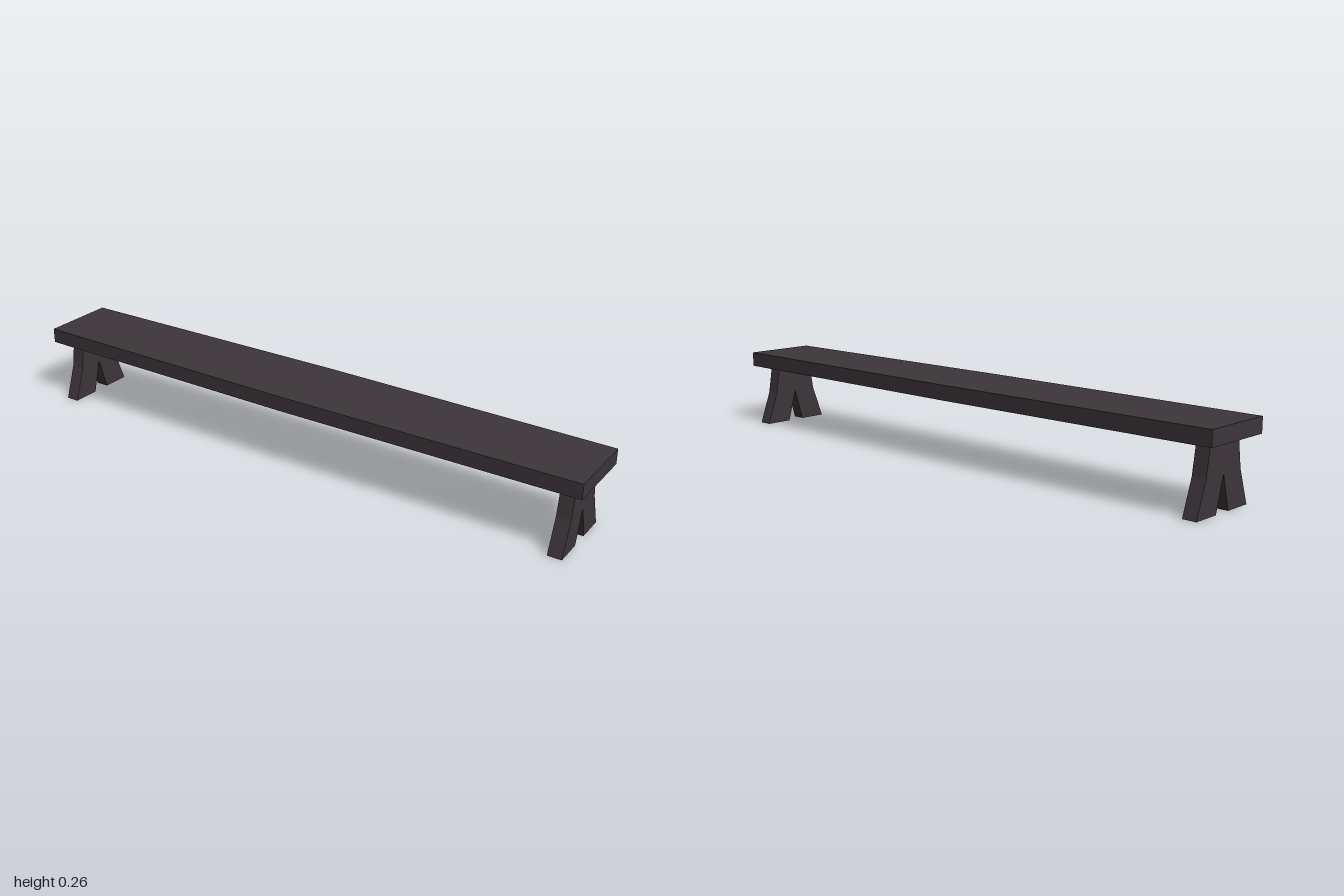
import * as THREE from 'three';

const darkWood = new THREE.MeshStandardMaterial({ color: 0x3d353a });
darkWood.name = 'darkWood';

// Flat outline pushed to a thickness, with no bevel
function board(name, points, depth) {
  const shape = new THREE.Shape(points.map(([x, y]) => new THREE.Vector2(x, y)));
  const geometry = new THREE.ExtrudeGeometry(shape, { depth, bevelEnabled: false });
  const mesh = new THREE.Mesh(geometry, darkWood);
  mesh.name = name;
  return mesh;
}

export function createModel() {
  const bench = new THREE.Group();
  bench.name = 'bench';

  // Seat plank, slightly wider at the middle
  const legHeight = 0.21, seatThickness = 0.05;
  const seat = board('seat', [
    [-1, -0.126], [0, -0.136], [1, -0.126],
    [1, 0.126], [0, 0.136], [-1, 0.126],
  ], seatThickness);
  seat.geometry.rotateX(-Math.PI / 2);
  seat.position.y = legHeight;
  bench.add(seat);

  // Splayed trestle ends with a V notch between the feet
  const half = [[0.031, 0], [0.126, 0], [0.086, 0.111], [0.07, legHeight]];
  const mirrored = half.map(([z, y]) => [-z, y]).reverse();
  const legThickness = 0.046;
  for (const [name, x] of [['leftLeg', 0.938], ['rightLeg', -0.938]]) {
    const leg = board(name, [[0, 0.111], ...half, ...mirrored], legThickness);
    leg.geometry.translate(0, 0, -legThickness / 2).rotateY(Math.PI / 2);
    leg.position.x = x;
    bench.add(leg);
  }
  return bench;
}
